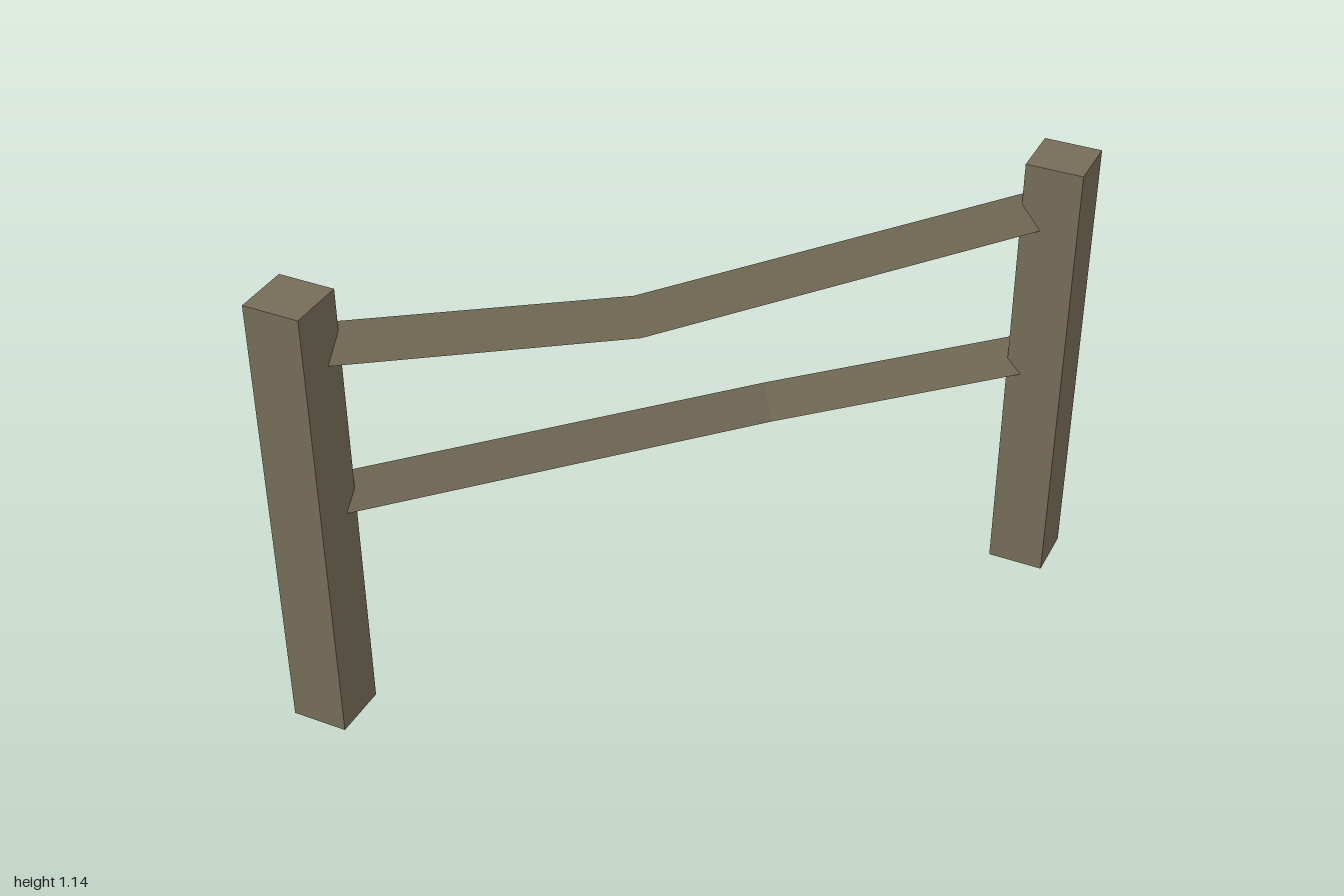
import * as THREE from 'three';

const wood = new THREE.MeshStandardMaterial({ color: 0x756d58 });
wood.name = 'weathered wood';

const POST_X = 0.9025, POST_Z = 0.02, POST_HEIGHT = 1.14, POST_SIDE = 0.138;

// Square post turned 45 degrees, a corner facing the front
function makePost(name, x) {
  const geometry = new THREE.BoxGeometry(POST_SIDE, POST_HEIGHT, POST_SIDE);
  geometry.rotateY(Math.PI / 4);
  const post = new THREE.Mesh(geometry, wood);
  post.name = name;
  post.position.set(x, POST_HEIGHT / 2, POST_Z);
  return post;
}

// Triangular rail with its ridge on top, bent once at the middle station
function makeRail(name, end, bend) {
  const geometry = new THREE.CylinderGeometry(0.055, 0.055, 2, 3, 2);
  geometry.rotateY(-Math.PI / 2);
  geometry.rotateZ(-Math.PI / 2);
  const pos = geometry.attributes.position;
  for (let i = 0; i < pos.count; i++) {
    const side = Math.round(pos.getX(i)); // -1, 0 or 1
    const [x, y, z] = side === 0 ? bend : [side * end[0], end[1], end[2]];
    pos.setXYZ(i, x, pos.getY(i) + y, pos.getZ(i) + z);
  }
  const flat = geometry.toNonIndexed();
  flat.computeVertexNormals();
  const rail = new THREE.Mesh(flat, wood);
  rail.name = name;
  return rail;
}

export function createModel() {
  const fence = new THREE.Group();
  fence.name = 'fence';
  fence.add(
    makePost('leftPost', POST_X),
    makePost('rightPost', -POST_X),
    // Upper rail bows forward, lower rail bows backward
    makeRail('upperRail', [0.9, 1.006, 0.005], [-0.15, 0.943, 0.042]),
    makeRail('lowerRail', [0.9, 0.601, 0.005], [0.21, 0.557, -0.07]),
  );
  return fence;
}
